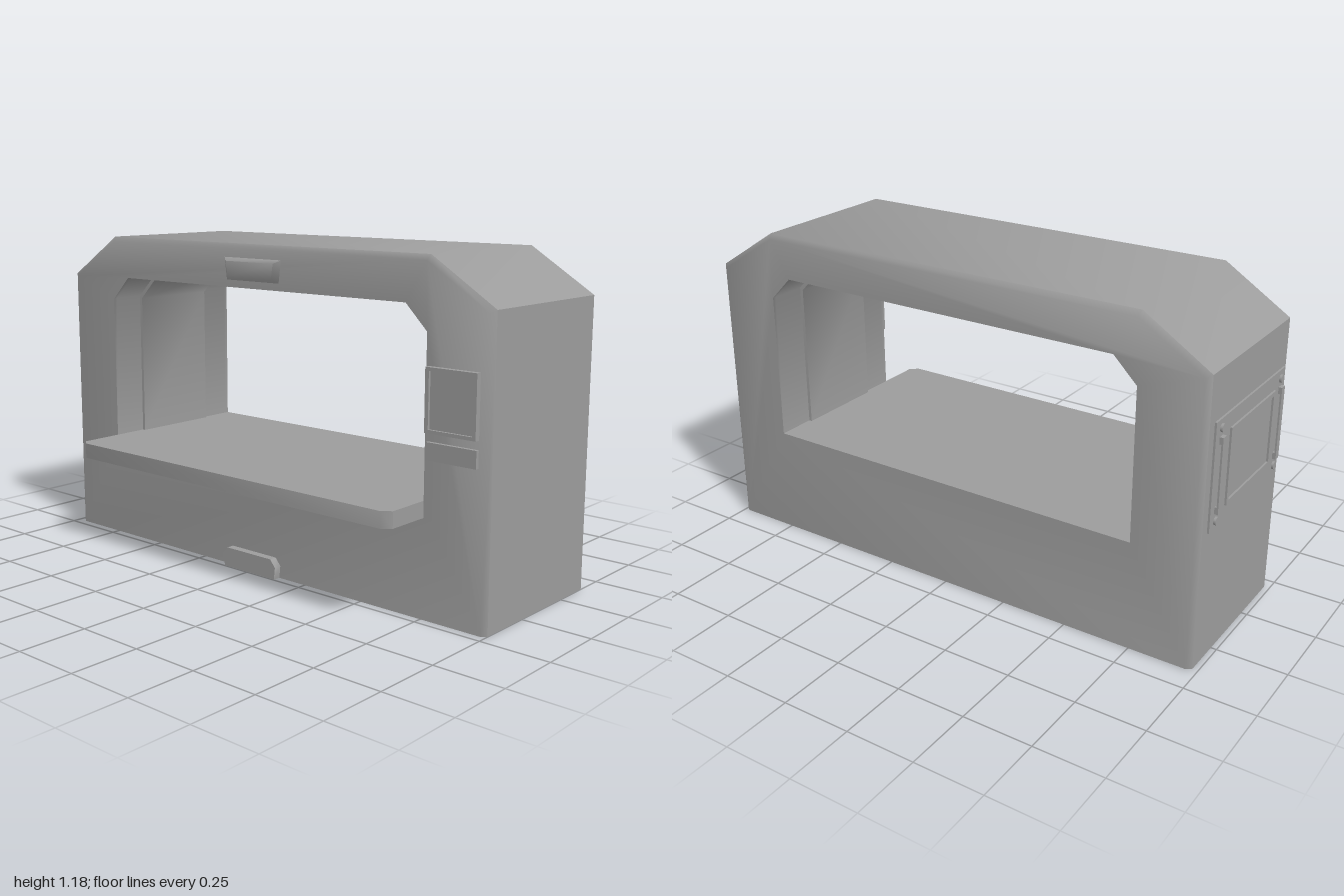
import * as THREE from 'three';
import { toCreasedNormals } from 'three/addons/utils/BufferGeometryUtils.js';

const grey = new THREE.MeshStandardMaterial({ color: 0x9c9c9c });
const CREASE = 0.83;

const polygon = (Type, points) => new Type(points.map(([x, y]) => new THREE.Vector2(x, y)));

export function createModel() {
  const model = new THREE.Group();

  const add = (name, geometry, parent = model) => {
    const mesh = new THREE.Mesh(geometry, grey);
    mesh.name = name;
    parent.add(mesh);
    return mesh;
  };

  // Box given by its lower and upper limits
  const box = (name, x0, x1, y0, y1, z0, z1, parent) => {
    const mesh = add(name, new THREE.BoxGeometry(x1 - x0, y1 - y0, z1 - z0), parent);
    mesh.position.set((x0 + x1) / 2, (y0 + y1) / 2, (z0 + z1) / 2);
  };

  // Flat polygon drawn out along z, soft over shallow corners
  const prism = (points, z0, z1, hole) => {
    const shape = polygon(THREE.Shape, points);
    if (hole) shape.holes.push(polygon(THREE.Path, hole));
    const geometry = new THREE.ExtrudeGeometry(shape, { depth: z1 - z0, bevelEnabled: false });
    return toCreasedNormals(geometry.translate(0, 0, z0), CREASE);
  };

  // Main housing: chamfered arch with a through opening
  const cx = 0.01;
  const outline = [[-0.98, 0], [1, 0], [1, 1.03], [0.755, 1.185], [-0.74, 1.185], [-0.98, 1.03]];
  const opening = [[-0.74, 0.4], [-0.74, 0.945], [-0.655, 1.03], [0.67, 1.03], [0.755, 0.945], [0.755, 0.4]];
  const shape = polygon(THREE.Shape, outline);
  shape.holes.push(polygon(THREE.Path, opening));
  const housing = new THREE.ExtrudeGeometry(shape, { depth: 3, steps: 3, bevelEnabled: false });
  const layers = [-0.405, -0.39, 0.204, 0.218];
  const p = housing.attributes.position;
  for (let i = 0; i < p.count; i++) {
    const layer = Math.round(p.getZ(i));
    const x = p.getX(i), y = p.getY(i);
    const outer = Math.abs(x - cx) > 0.8 || y > 1.1;
    // Bevel the outer edge at front and back, but not along the base
    if (outer && (layer === 0 || layer === 3)) {
      p.setX(i, x - Math.sign(x - cx) * (y > 1.1 ? 0.006 : 0.018));
      if (y > 0.1) p.setY(i, y - (y > 1.1 ? 0.019 : 0.01));
    }
    p.setZ(i, layers[layer]);
  }
  add('housing', toCreasedNormals(housing, CREASE));

  // Raised lining inside the opening
  add('openingLining', prism([
    [-0.74, 0.4], [-0.728, 0.4], [-0.728, 0.937], [-0.65, 1.015], [0.665, 1.015], [0.743, 0.937], [0.743, 0.4],
    [0.755, 0.4], [0.755, 0.945], [0.67, 1.03], [-0.655, 1.03], [-0.74, 0.945],
  ], -0.26, 0.085));

  // Shelf in front of the opening, with clipped corners
  const shelf = prism([
    [-0.74, -0.218], [-0.74, -0.38], [-0.71, -0.405], [0.725, -0.405], [0.755, -0.38], [0.755, -0.218],
  ], 0, 0.057);
  add('shelf', shelf.rotateX(-Math.PI / 2).translate(0, 0.343, 0));

  // Badge plate above the opening, tapering softly to its front face
  const badge = new THREE.BoxGeometry(0.27, 0.08, 0.018);
  const b = badge.attributes.position;
  for (let i = 0; i < b.count; i++) {
    const lower = b.getY(i) < 0 ? 0.92 : 1;
    const front = b.getZ(i) > 0;
    b.setX(i, b.getX(i) * lower * (front ? 0.84 : 1));
    b.setY(i, b.getY(i) * (front ? 0.7 : 1));
  }
  add('badgePlate', toCreasedNormals(badge, 1.1)).position.set(0.005, 1.096, 0.227);

  // Foot tab at the base
  add('footTab', prism([
    [-0.115, 0], [0.13, 0], [0.135, 0.045], [0.112, 0.072], [-0.102, 0.072], [-0.125, 0.045],
  ], 0.218, 0.247));

  // Framed control screen with a button strip below
  const controls = new THREE.Group();
  controls.name = 'controlPanel';
  model.add(controls);
  add('screenFrame', prism(
    [[0.765, 0.627], [0.957, 0.627], [0.957, 0.838], [0.765, 0.838]], 0.218, 0.238,
    [[0.779, 0.639], [0.779, 0.826], [0.944, 0.826], [0.944, 0.639]],
  ), controls);
  box('screen', 0.779, 0.944, 0.639, 0.826, 0.218, 0.229, controls);
  box('buttonStrip', 0.768, 0.957, 0.538, 0.597, 0.218, 0.231, controls);

  // Service panel on the right-hand wall
  const service = new THREE.Group();
  service.name = 'servicePanel';
  model.add(service);
  box('servicePlate', -0.987, -0.98, 0.485, 0.865, -0.355, 0.185, service);
  const frame = prism(
    [[-0.175, 0.54], [0.175, 0.54], [0.175, 0.81], [-0.175, 0.81]], 0, 0.007,
    [[-0.16, 0.555], [-0.16, 0.795], [0.16, 0.795], [0.16, 0.555]],
  );
  add('serviceFrame', frame.rotateY(-Math.PI / 2).translate(-0.987, 0, -0.075), service);
  for (const z of [-0.315, 0.15]) {
    box('handleBar', -1, -0.994, 0.555, 0.795, z - 0.012, z + 0.012, service);
    for (const y of [0.555, 0.795]) box('handlePost', -1, -0.987, y - 0.012, y + 0.012, z - 0.012, z + 0.012, service);
    for (const y of [0.515, 0.835]) {
      const screw = new THREE.CylinderGeometry(0.014, 0.014, 0.008, 12).rotateZ(Math.PI / 2);
      add('screw', screw, service).position.set(-0.991, y, z);
    }
  }

  return model;
}
